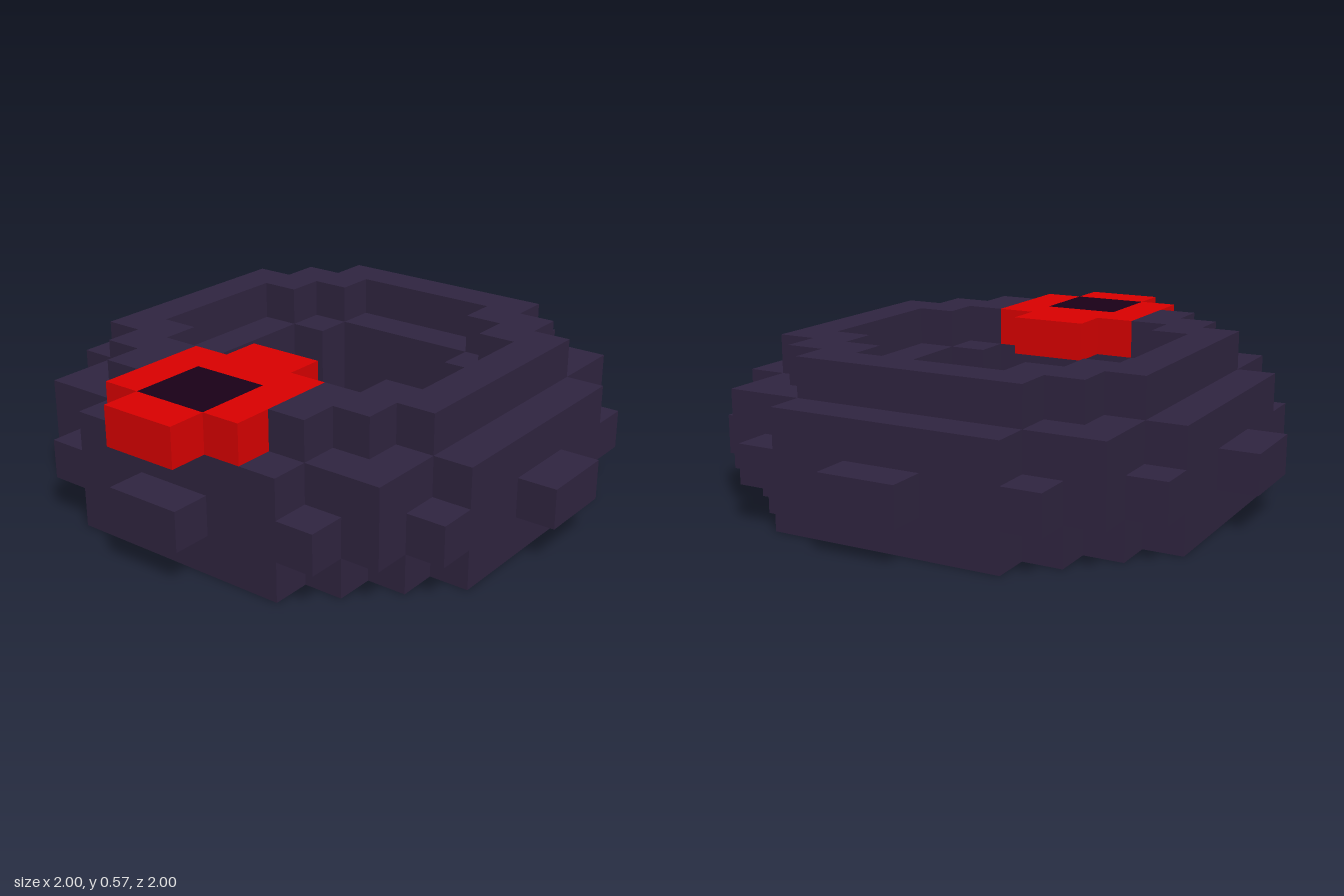
import * as THREE from 'three';

const U = 1 / 7; // edge of one block

const stone = new THREE.MeshStandardMaterial({ color: 0x302541 });
stone.name = 'dark violet';
const red = new THREE.MeshStandardMaterial({ color: 0xdc0000 });
red.name = 'red';
const gemDark = new THREE.MeshStandardMaterial({ color: 0x1a0018 });
gemDark.name = 'deep plum';

// Stepped round outline from the outward corners of one quadrant, mirrored four ways
function stepped(corners) {
  const q = [];
  corners.forEach(([x, z], i) => {
    q.push([x, z]);
    if (i + 1 < corners.length) q.push([x, corners[i + 1][1]]);
  });
  const r = [...q].reverse();
  return [
    ...q,
    ...r.map(([x, z]) => [x, -z]),
    ...q.map(([x, z]) => [-x, -z]),
    ...r.map(([x, z]) => [-x, z]),
  ].map(([x, z]) => new THREE.Vector2(x * U, z * U));
}

// Flat slab one block high, standing at level y; a hole runs opposite to the outline
function slab(name, points, hole, y) {
  const shape = new THREE.Shape(points);
  if (hole) shape.holes.push(new THREE.Path([...hole].reverse()));
  const geo = new THREE.ExtrudeGeometry(shape, { depth: U, bevelEnabled: false });
  geo.rotateX(Math.PI / 2);
  geo.translate(0, (y + 1) * U, 0);
  const mesh = new THREE.Mesh(geo, stone);
  mesh.name = name;
  return mesh;
}

// Box given by its block limits in x and z, in the top layer
function topBox(name, x0, x1, z0, z1, material) {
  const mesh = new THREE.Mesh(new THREE.BoxGeometry((x1 - x0) * U, U, (z1 - z0) * U), material);
  mesh.position.set(((x0 + x1) / 2) * U, 3.5 * U, ((z0 + z1) / 2) * U);
  mesh.name = name;
  return mesh;
}

export function createModel() {
  const model = new THREE.Group();
  model.name = 'blockRing';

  const round = stepped([[3, 6], [4, 5], [5, 4], [6, 3]]);
  const belt = stepped([[1, 7], [4, 6], [5, 5], [6, 4], [7, 1]]);
  const band = stepped([[3, 6], [5, 5], [6, 3]]);
  const bore = stepped([[2, 3], [3, 2]]);
  const notchedBore = stepped([[1, 4], [3, 3], [4, 1]]);

  // Ring body: notched base, belt with four studs, upper band
  model.add(slab('base', round, notchedBore, 0));
  model.add(slab('studdedBelt', belt, bore, 1));
  model.add(slab('upperBand', band, bore, 2));

  // Rim on top, open at the front for the setting
  const rimOuter = stepped([[3, 5], [4, 4], [5, 3]]);
  const rimInner = stepped([[2, 4], [3, 3], [4, 2]]).reverse();
  const rim = [
    new THREE.Vector2(2 * U, 5 * U), ...rimOuter,
    new THREE.Vector2(-2 * U, 5 * U), ...rimInner,
  ];
  model.add(slab('rim', rim, null, 3));

  // Red setting around a dark gem
  const setting = new THREE.Group();
  setting.name = 'setting';
  for (const s of [-1.5, 1.5]) setting.add(topBox('settingSide', s - 0.5, s + 0.5, 3, 6, red));
  setting.add(topBox('settingInner', -1, 1, 2, 4, red));
  setting.add(topBox('settingFront', -1, 1, 6, 7, red));
  setting.add(topBox('gem', -1, 1, 4, 6, gemDark));
  model.add(setting);

  return model;
}
